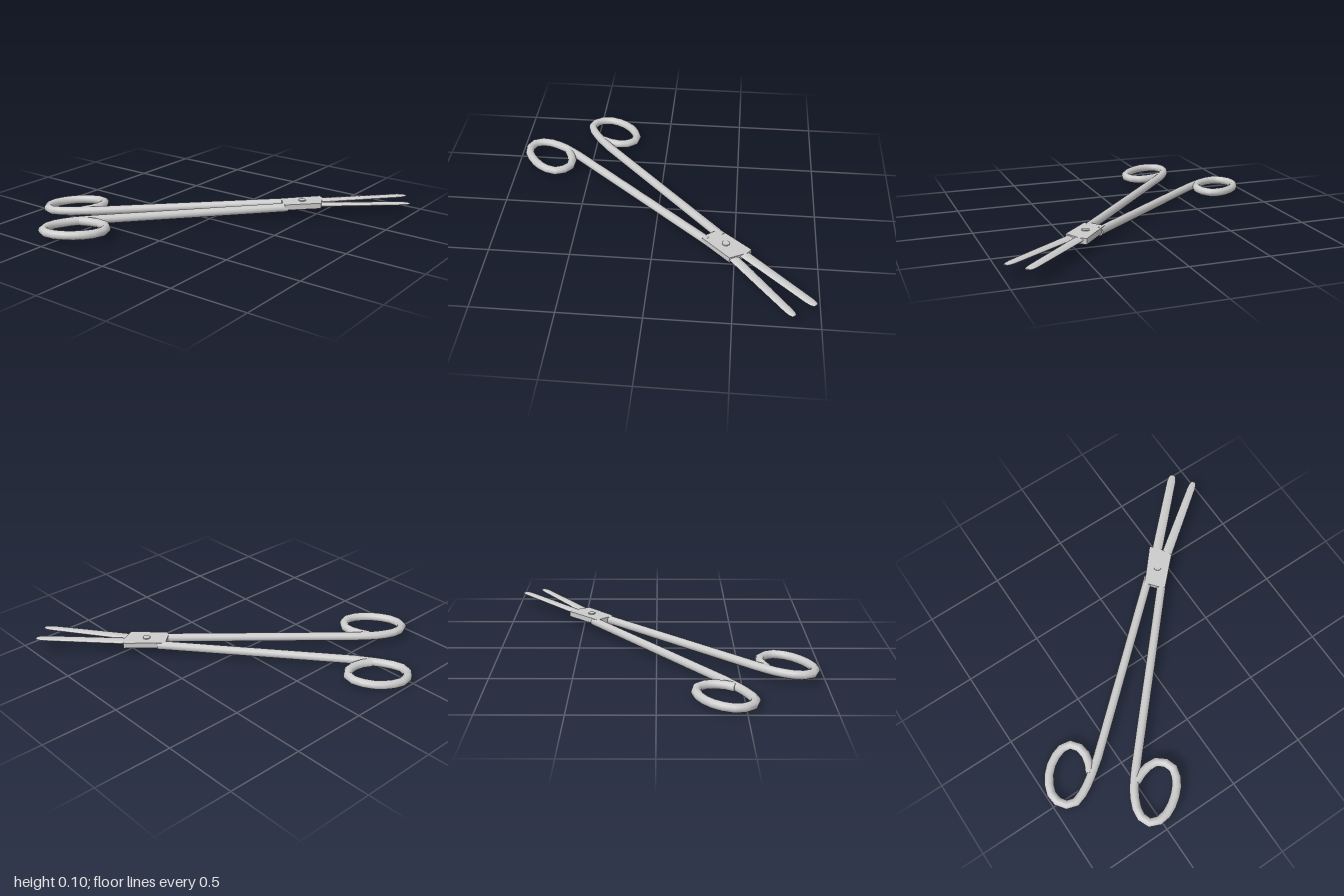
import * as THREE from 'three';
import { toCreasedNormals } from 'three/addons/utils/BufferGeometryUtils.js';

const steel = new THREE.MeshStandardMaterial({ color: 0xcccccc });

function part(name, geometry) {
  const mesh = new THREE.Mesh(geometry, steel);
  mesh.name = name;
  return mesh;
}

// Sweeps an elliptical section along centres; size(i) gives [halfWidth, halfHeight].
function sweep(centres, size, sides = 10) {
  const pos = [], index = [], up = new THREE.Vector3(0, 1, 0), last = centres.length - 1;
  centres.forEach((c, s) => {
    const before = centres[Math.max(s - 1, 0)], after = centres[Math.min(s + 1, last)];
    const side = after.clone().sub(before).cross(up).normalize();
    const [w, h] = size(s);
    for (let i = 0; i < sides; i++) {
      const a = (i / sides) * Math.PI * 2;
      const p = c.clone().addScaledVector(side, Math.cos(a) * w).addScaledVector(up, Math.sin(a) * h);
      pos.push(p.x, p.y, p.z);
    }
  });
  for (let s = 0; s < last; s++) {
    for (let i = 0; i < sides; i++) {
      const a = s * sides + i, b = s * sides + (i + 1) % sides;
      index.push(a, a + sides, b, b, a + sides, b + sides);
    }
  }
  // end caps
  for (let i = 1; i < sides - 1; i++) {
    const e = last * sides;
    index.push(0, i, i + 1, e, e + i + 1, e + i);
  }
  const geo = new THREE.BufferGeometry();
  geo.setAttribute('position', new THREE.Float32BufferAttribute(pos, 3));
  geo.setIndex(index);
  return toCreasedNormals(geo, 0.9);
}

// One rod: straight shank that bends round into an oval finger ring.
function handle(name, jointEnd, loop, height) {
  const place = ([x, z]) => new THREE.Vector3(x, height(x), z);
  const curve = new THREE.CatmullRomCurve3(loop.map(place), false, 'centripetal');
  const centres = [place(jointEnd), ...curve.getSpacedPoints(18)];
  return part(name, sweep(centres, () => [0.029, 0.028]));
}

// Slim blade with a lens section and a blunt tapered tip.
function jaw(name, from, to, w0, w1) {
  const a = new THREE.Vector3(...from), b = new THREE.Vector3(...to);
  const stations = [[0, w0, 0.014], [0.5, (w0 + w1) / 2, 0.012], [0.92, w1, 0.01], [0.97, w1 * 0.85, 0.007], [1, w1 * 0.5, 0.003]];
  return part(name, sweep(stations.map(([t]) => a.clone().lerp(b, t)), i => stations[i].slice(1), 8));
}

// Flat plate from [x, z] corners between two heights.
function plate(name, corners, y0, y1) {
  const shape = new THREE.Shape(corners.map(([x, z]) => new THREE.Vector2(x, -z)));
  const geo = new THREE.ExtrudeGeometry(shape, { depth: y1 - y0, bevelEnabled: false });
  geo.rotateX(-Math.PI / 2).translate(0, y0, 0);
  return part(name, geo);
}

export function createModel() {
  const model = new THREE.Group();
  model.name = 'surgicalForceps';

  // Handles: one slopes down to the ground, the other stays level
  model.add(handle('lowerHandle', [0.33, -0.425], [
    [-0.61, 0.4], [-0.74, 0.495], [-0.81, 0.535], [-0.9, 0.553], [-0.967, 0.465], [-0.93, 0.34],
    [-0.834, 0.25], [-0.72, 0.225], [-0.663, 0.294], [-0.668, 0.385], [-0.7, 0.455],
  ], x => 0.029 + 0.03 * (x + 1)));
  model.add(handle('upperHandle', [0.375, -0.335], [
    [-0.46, 0.6], [-0.55, 0.72], [-0.594, 0.845], [-0.565, 0.92], [-0.487, 0.937], [-0.38, 0.89],
    [-0.285, 0.79], [-0.265, 0.7], [-0.33, 0.628], [-0.42, 0.632], [-0.5, 0.665],
  ], () => 0.068));

  // Box joint with its pivot screw
  model.add(plate('boxJoint', [[0.285, -0.4], [0.46, -0.6], [0.495, -0.575], [0.548, -0.47], [0.38, -0.3], [0.345, -0.325]], 0.058, 0.094));
  const screw = part('pivotScrew', new THREE.CylinderGeometry(0.024, 0.024, 0.045, 12));
  screw.position.set(0.418, 0.077, -0.445);
  model.add(screw);

  // Jaws
  model.add(jaw('upperJaw', [0.45, 0.08, -0.515], [0.9, 0.089, -0.965], 0.034, 0.029));
  model.add(jaw('lowerJaw', [0.47, 0.073, -0.455], [0.99, 0.084, -0.843], 0.034, 0.026));
  return model;
}
